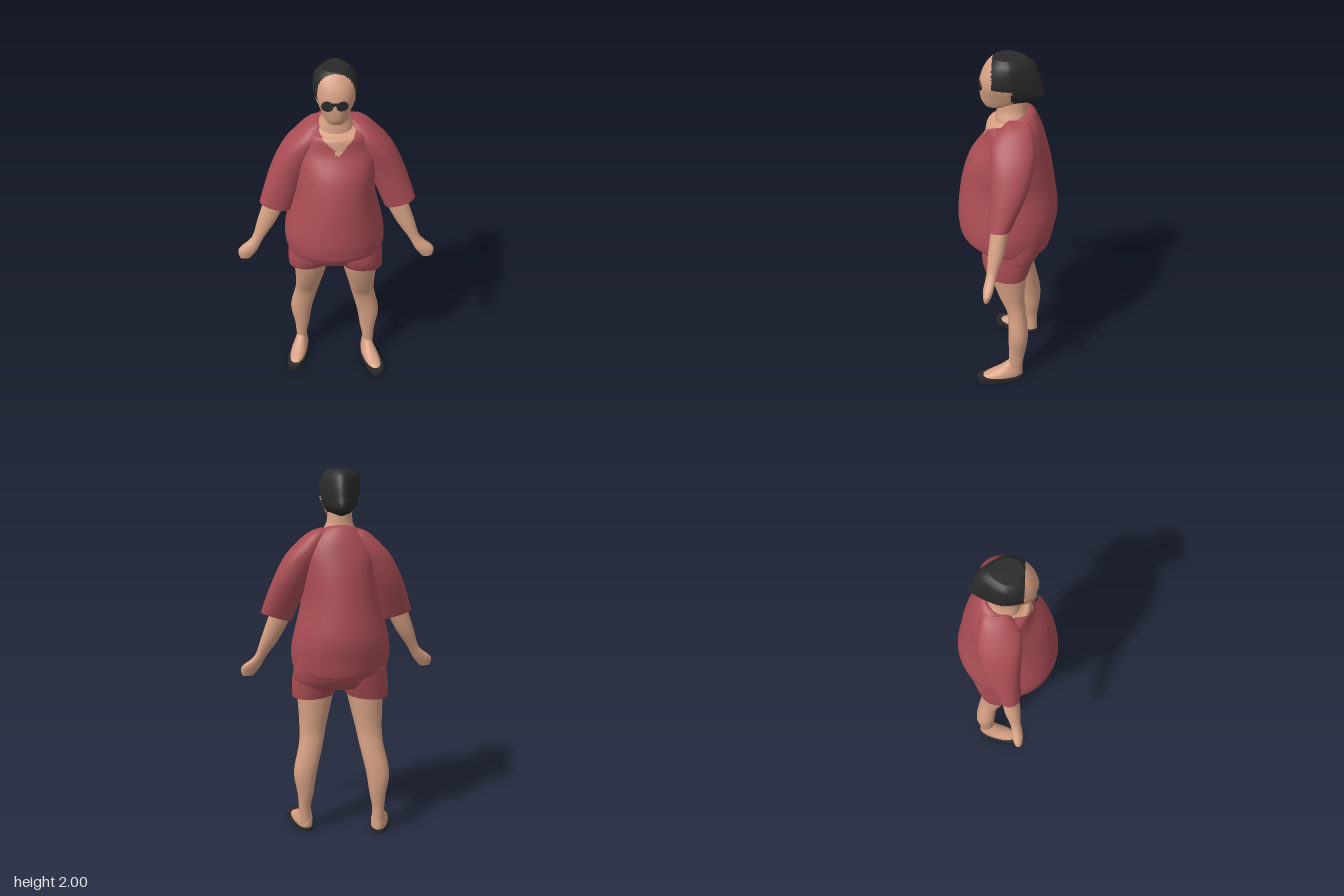
import * as THREE from 'three';

const material = (name, color) => {
  const m = new THREE.MeshStandardMaterial({ color });
  m.name = name;
  return m;
};

// Samples between rings with a Catmull-Rom curve, one number at a time
function refine(rings, steps) {
  const out = [];
  const at = (i) => rings[Math.min(Math.max(i, 0), rings.length - 1)];
  for (let i = 0; i < rings.length - 1; i++) {
    for (let k = 0; k < steps; k++) {
      const t = k / steps;
      out.push([0, 1, 2, 3, 4, 5, 6].map((n) => {
        const [a, b, c, d] = [i - 1, i, i + 1, i + 2].map((j) => at(j)[n] ?? 0);
        return b + 0.5 * t * (c - a + t * (2 * a - 5 * b + 4 * c - d + t * (3 * (b - c) + d - a)));
      }));
    }
  }
  out.push([0, 1, 2, 3, 4, 5, 6].map((n) => rings[rings.length - 1][n] ?? 0));
  return out;
}

// Skin over level rings, bottom to top: [y, xMin, xMax, zBack, zFront, tiltX, tiltZ]
function loft(rings, { segs = 20, steps = 3, power = 0.9, pinch = 0, pick = null } = {}) {
  const rows = refine(rings, steps);
  const pos = [];
  const groups = [[], []];
  const bend = (v) => Math.sign(v) * Math.abs(v) ** power;
  const addRow = ([y, x0, x1, z0, z1, tx, tz]) => {
    const start = pos.length / 3;
    for (let j = 0; j < segs; j++) {
      const a = (j / segs) * Math.PI * 2;
      const s = bend(Math.sin(a)), c = bend(Math.cos(a));
      const narrow = 1 - pinch * Math.max(0, -c);
      pos.push((x0 + x1) / 2 + ((x1 - x0) / 2) * s * narrow, y + tx * s + tz * c, (z0 + z1) / 2 + ((z1 - z0) / 2) * c);
    }
    return start;
  };
  const tri = (...ids) => {
    const mid = [0, 1, 2].map((n) => ids.reduce((sum, i) => sum + pos[i * 3 + n], 0) / 3);
    groups[pick && pick(...mid) ? 1 : 0].push(...ids);
  };
  const starts = rows.map(addRow);
  for (let i = 0; i < starts.length - 1; i++) {
    for (let j = 0; j < segs; j++) {
      const k = (j + 1) % segs;
      const a = starts[i] + j, b = starts[i] + k, c = starts[i + 1] + k, d = starts[i + 1] + j;
      tri(a, b, c);
      tri(a, c, d);
    }
  }
  // Flat ends with their own corners, so the rims stay sharp
  [rows[0], rows[rows.length - 1]].forEach((row, end) => {
    const start = addRow(row);
    const centre = pos.length / 3;
    pos.push((row[1] + row[2]) / 2, row[0], (row[3] + row[4]) / 2);
    for (let j = 0; j < segs; j++) {
      const a = start + j, b = start + (j + 1) % segs;
      if (end) tri(centre, a, b);
      else tri(centre, b, a);
    }
  });
  const g = new THREE.BufferGeometry();
  g.setAttribute('position', new THREE.Float32BufferAttribute(pos, 3));
  g.setIndex([...groups[0], ...groups[1]]);
  if (pick) {
    g.addGroup(0, groups[0].length, 0);
    g.addGroup(groups[0].length, groups[1].length, 1);
  }
  g.computeVertexNormals();
  return g;
}

// Places rings written for the left (+x) on either side
const onSide = (s, rings, dx = 0, dy = 0) => rings.map(([y, x0, x1, z0, z1, tx = 0, tz = 0]) =>
  s > 0 ? [y + dy, x0 + dx, x1 + dx, z0, z1, tx, tz] : [y, -x1, -x0, z0, z1, -tx, tz]);

export function createModel() {
  const model = new THREE.Group();
  model.name = 'man';
  const skin = material('skin', 0xd6a083);
  const cloth = material('red cloth', 0xa94d54);
  const black = material('black', 0x2a2a2a);
  const add = (name, geometry, mat, parent = model) => {
    const mesh = new THREE.Mesh(geometry, mat);
    mesh.name = name;
    parent.add(mesh);
    return mesh;
  };

  // Loose shirt over a big belly, hem turned under, with an open V neck
  add('shirt', loft([
    [1.0, -0.22, 0.22, -0.2, 0.13],
    [0.945, -0.26, 0.255, -0.232, 0.245, 0, 0.035],
    [1.03, -0.278, 0.265, -0.257, 0.268, 0, 0.015],
    [1.13, -0.265, 0.248, -0.272, 0.268],
    [1.3, -0.22, 0.21, -0.25, 0.245],
    [1.45, -0.2, 0.21, -0.225, 0.2],
    [1.56, -0.2, 0.21, -0.195, 0.125],
    [1.64, -0.16, 0.175, -0.17, 0.105],
    [1.675, -0.115, 0.12, -0.14, 0.08, 0, -0.025],
    [1.69, -0.085, 0.09, -0.115, 0.055, 0, -0.025],
  ], { segs: 96, steps: 8, power: 0.98, pick: (x, y, z) => z > 0 && y > 1.565 + 1.05 * Math.abs(x - 0.01) }), [cloth, skin]);

  // Shorts: hips and two wide legs
  add('shortsHips', loft([
    [0.835, -0.235, 0.235, -0.155, 0.1],
    [0.9, -0.258, 0.258, -0.195, 0.13],
    [1.02, -0.245, 0.245, -0.225, 0.14],
  ], { segs: 32, power: 0.8 }), cloth);

  // Neck
  add('neck', loft([
    [1.6, -0.1, 0.1, -0.12, 0.07],
    [1.68, -0.088, 0.092, -0.105, 0.06],
    [1.73, -0.068, 0.07, -0.1, 0.055],
    [1.8, -0.065, 0.065, -0.1, 0.06],
  ]), skin);

  // Head, with the hair swept to a point at the back
  const isHair = (x, y, z) => (y > 1.862 && z < 0.074) || z < -0.025 - Math.max(0, 1.8 - y) * 0.6;
  add('head', loft([
    [1.742, -0.05, 0.05, -0.02, 0.115],
    [1.765, -0.067, 0.067, -0.11, 0.13],
    [1.8, -0.085, 0.085, -0.182, 0.138],
    [1.86, -0.107, 0.107, -0.172, 0.14],
    [1.92, -0.11, 0.108, -0.155, 0.127],
    [1.97, -0.102, 0.094, -0.13, 0.098],
    [2.0, -0.07, 0.066, -0.09, 0.068],
  ], { segs: 64, steps: 8, power: 0.92, pinch: 0.45, pick: isHair }), [skin, black]);

  // Sunglasses
  const glasses = new THREE.Group();
  glasses.name = 'sunglasses';
  glasses.position.set(-0.01, 1.855, 0);
  model.add(glasses);
  for (const s of [-1, 1]) {
    const lens = add('lens', new THREE.CylinderGeometry(0.03, 0.03, 0.009, 18).rotateX(Math.PI / 2).scale(1, 0.85, 1), black, glasses);
    lens.position.set(s * 0.036, 0, 0.133);
    lens.rotation.y = s * 0.28;
  }
  add('bridge', new THREE.BoxGeometry(0.04, 0.014, 0.008), black, glasses).position.set(0, 0.012, 0.14);

  for (const s of [-1, 1]) {
    const side = s > 0 ? 'left' : 'right';

    // Sleeve, forearm and hand
    add(side + 'Sleeve', loft(onSide(s, [
      [1.215, 0.24, 0.405, -0.04, 0.075, 0.025],
      [1.4, 0.155, 0.345, -0.12, 0.07, 0.01],
      [1.54, 0.09, 0.28, -0.15, 0.075],
      [1.62, 0.06, 0.21, -0.145, 0.065],
      [1.675, 0.05, 0.145, -0.125, 0.02],
      [1.695, 0.05, 0.095, -0.1, -0.01],
    ], 0.022), { segs: 24, steps: 4 }), cloth);
    add(side + 'Forearm', loft(onSide(s, [
      [0.905, 0.47, 0.53, 0.06, 0.09],
      [0.955, 0.43, 0.535, 0.04, 0.095],
      [1.02, 0.395, 0.46, 0.025, 0.08],
      [1.12, 0.325, 0.425, -0.01, 0.075],
      [1.25, 0.255, 0.38, -0.03, 0.06],
    ], 0.005, -0.03), { segs: 14 }), skin);

    // The left leg stands ahead of the right, more so towards the ground
    const step = (rings) => onSide(s, rings.map(([y, a, b, c, d, tx, tz]) => {
      const z = s > 0 ? 0 : -0.03 - 0.045 * (1 - y / 0.9);
      return [y, a, b, c + z, d + z, tx, tz];
    }));
    add(side + 'ShortsLeg', loft(step([
      [0.79, 0.025, 0.265, -0.125, 0.115, -0.01, 0.012],
      [0.86, 0.005, 0.264, -0.148, 0.132],
      [0.95, -0.01, 0.25, -0.17, 0.13],
    ]), { segs: 24 }), cloth);
    add(side + 'Leg', loft(step([
      [0.03, 0.165, 0.23, -0.1, -0.02],
      [0.13, 0.172, 0.238, -0.105, -0.022],
      [0.22, 0.155, 0.245, -0.12, -0.02],
      [0.35, 0.135, 0.265, -0.132, -0.018],
      [0.5, 0.1, 0.235, -0.115, -0.008],
      [0.6, 0.08, 0.228, -0.105, 0.035],
      [0.75, 0.045, 0.235, -0.115, 0.085],
      [0.86, 0.02, 0.245, -0.12, 0.1],
    ])), skin);

    // Foot in a flat sandal, toes turned out
    const foot = new THREE.Group();
    foot.name = side + 'Foot';
    foot.position.set(s > 0 ? 0.197 : -0.205, 0, s > 0 ? -0.048 : -0.122);
    foot.rotation.y = s * 0.25;
    model.add(foot);
    add('footTop', loft(onSide(s, [
      [0.02, -0.042, 0.052, -0.055, 0.205],
      [0.045, -0.042, 0.05, -0.055, 0.165],
      [0.075, -0.036, 0.04, -0.05, 0.09],
      [0.13, -0.022, 0.024, -0.04, 0.02],
    ])), skin, foot);
    add('sandal', loft(onSide(s, [
      [0, -0.046, 0.06, -0.06, 0.222],
      [0.026, -0.046, 0.06, -0.06, 0.222, 0, 0.01],
    ]), { steps: 1, power: 0.8 }), black, foot);
  }
  return model;
}
